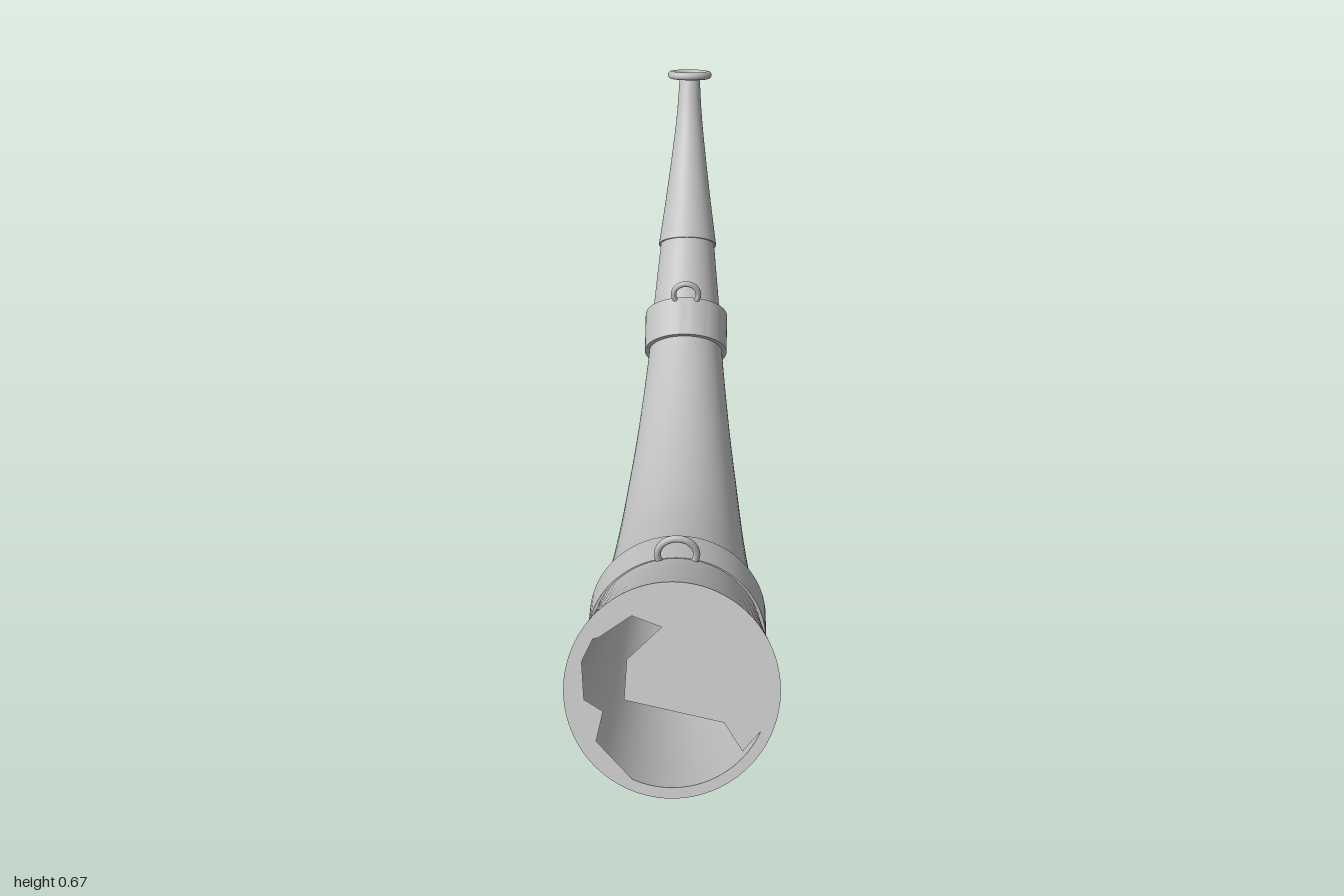
import * as THREE from 'three';
import { toCreasedNormals } from 'three/addons/utils/BufferGeometryUtils.js';

const rad = THREE.MathUtils.degToRad;

// Smooth tube through cross-sections [z, y, radius, tilt in degrees], ordered front to back
function loft(sections, steps, scale = 1, inward = false, sides = 64) {
  const centres = new THREE.CatmullRomCurve3(sections.map(s => new THREE.Vector3(0, s[1], s[0])));
  const shape = new THREE.CatmullRomCurve3(sections.map(s => new THREE.Vector3(s[2] * scale, rad(s[3]), 0)), false, 'catmullrom', 0.5);
  const pos = [], idx = [];
  for (let i = 0; i <= steps; i++) {
    const c = centres.getPoint(i / steps);
    const { x: r, y: tilt } = shape.getPoint(i / steps);
    for (let j = 0; j < sides; j++) {
      const t = j / sides * Math.PI * 2, v = r * Math.sin(t);
      pos.push(r * Math.cos(t), c.y + v * Math.cos(tilt), c.z - v * Math.sin(tilt));
      if (i === steps) continue;
      const a = i * sides + j, b = i * sides + (j + 1) % sides, d = a + sides, e = b + sides;
      if (inward) idx.push(a, b, d, b, e, d);
      else idx.push(a, d, b, b, d, e);
    }
  }
  const g = new THREE.BufferGeometry();
  g.setAttribute('position', new THREE.Float32BufferAttribute(pos, 3));
  g.setIndex(idx);
  g.computeVertexNormals();
  return g;
}

// Rectangular-section collar around the local z axis
function collar(outer, inner, length) {
  const h = length / 2;
  const profile = [[inner, -h], [outer, -h], [outer, h], [inner, h], [inner, -h]].map(p => new THREE.Vector2(...p));
  return toCreasedNormals(new THREE.LatheGeometry(profile, 64).rotateX(Math.PI / 2), 0.6);
}

export function createModel() {
  const group = new THREE.Group();
  const grey = new THREE.MeshStandardMaterial({ color: 0xbfbfbf, side: THREE.DoubleSide });
  grey.name = 'plain grey';

  const add = (name, geometry, z = 0, y = 0, tilt = 0) => {
    const m = new THREE.Mesh(geometry, grey);
    m.name = name;
    m.position.set(0, y, z);
    m.rotation.x = -rad(tilt);
    group.add(m);
  };

  // Curved horn body and its bore
  const horn = [
    [0.8875, 0.4625, 0.198, 34.7],
    [0.68, 0.343, 0.182, 26],
    [0.475, 0.237, 0.167, 17],
    [0.372, 0.198, 0.158, 15],
    [0.1, 0.137, 0.134, 5],
    [-0.13, 0.133, 0.114, -8],
    [-0.3, 0.162, 0.097, -18],
    [-0.49, 0.232, 0.079, -28],
    [-0.565, 0.275, 0.073, -32],
    [-0.71, 0.383, 0.057, -40]
  ];
  add('hornBody', loft(horn, 72));
  add('hornBore', loft(horn, 72, 0.9, true));

  // Mouth plate with a ragged opening that follows the bore along its lower edge
  const plate = new THREE.Shape();
  plate.absarc(0, 0, 0.198, 0, Math.PI * 2);
  const hole = new THREE.Path();
  hole.moveTo(-0.075, 0.135);
  [[-0.02, 0.115], [-0.083, 0.055], [-0.087, -0.019], [0.095, -0.058], [0.13, -0.11], [0.162, -0.073]]
    .forEach(p => hole.lineTo(...p));
  hole.absarc(0, 0, 0.178, Math.atan2(-0.073, 0.162), Math.atan2(-0.163, -0.07), true);
  [[-0.137, -0.095], [-0.125, -0.04], [-0.16, -0.019], [-0.165, 0.05], [-0.145, 0.092], [-0.135, 0.094]]
    .forEach(p => hole.lineTo(...p));
  plate.holes.push(hole);
  add('mouthPlate', new THREE.ShapeGeometry(plate, 48), 0.8875, 0.4625, 34.7);

  // Collars with upright hanging loops
  add('frontCollar', collar(0.1745, 0.156, 0.108), 0.423, 0.217, 15.5);
  add('rearCollar', collar(0.089, 0.078, 0.088), -0.5275, 0.253, -29);
  add('frontLoop', new THREE.TorusGeometry(0.038, 0.007, 12, 40), 0.434, 0.413);
  add('rearLoop', new THREE.TorusGeometry(0.027, 0.006, 12, 40), -0.523, 0.36);

  // Tapered mouthpiece with rim and end caps
  const mouthpiece = [
    [-0.697, 0.372, 0.063, -40],
    [-0.765, 0.431, 0.051, -43],
    [-0.835, 0.499, 0.039, -47],
    [-0.905, 0.573, 0.028, -53],
    [-0.958, 0.645, 0.022, -64]
  ];
  add('mouthpiece', loft(mouthpiece, 32, 1, false, 48));
  add('mouthpieceBase', new THREE.RingGeometry(0.05, 0.063, 48), -0.697, 0.372, -40);
  add('mouthpieceTip', new THREE.RingGeometry(0.011, 0.022, 32), -0.958, 0.645, -64);
  add('mouthpieceRim', new THREE.TorusGeometry(0.04, 0.0085, 12, 48), -0.957, 0.65, -64);

  return group;
}
